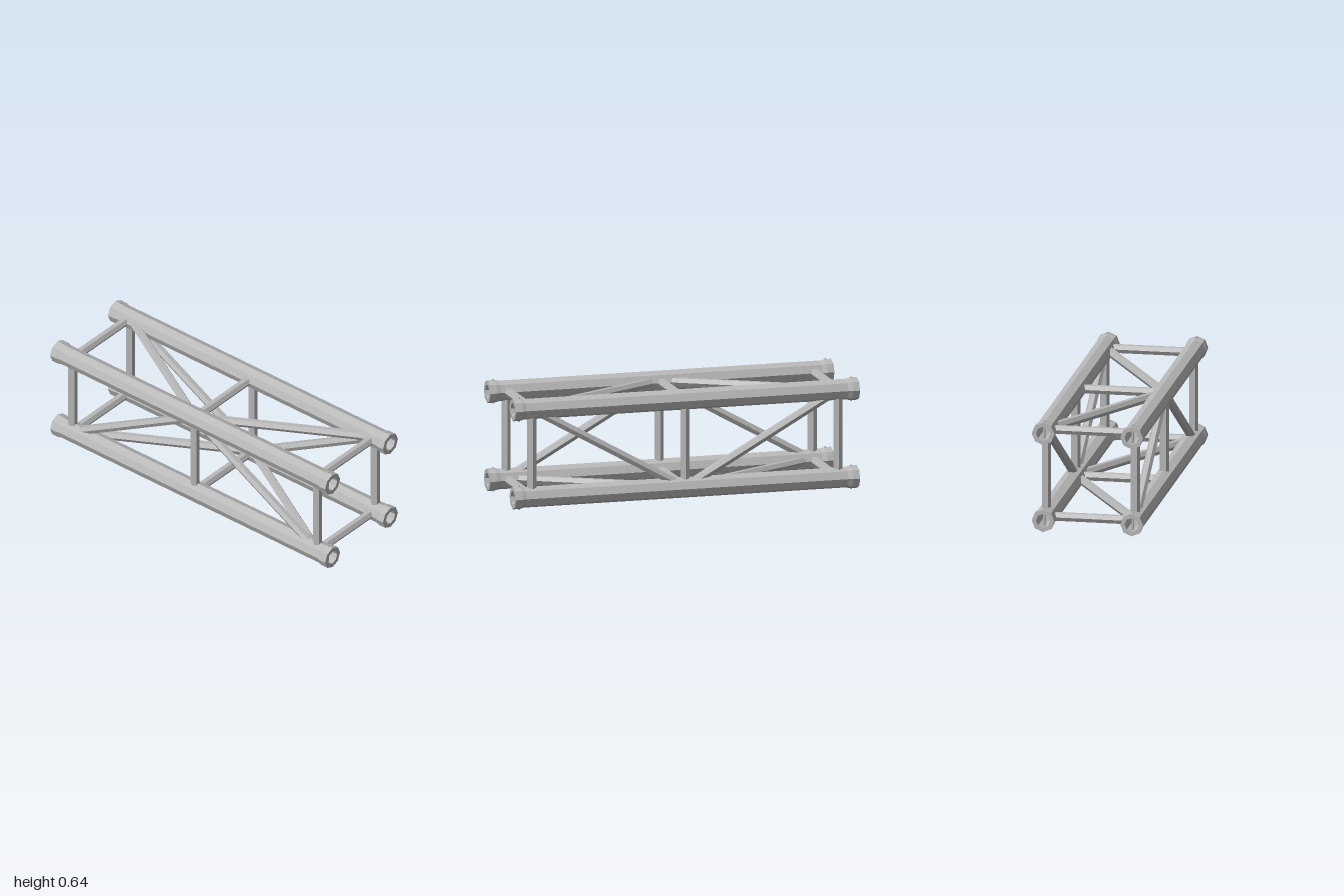
import * as THREE from 'three';

const HALF = 0.251;      // chord offset from the truss axis
const MID_Y = 0.3195;    // height of the truss axis
const POST_X = 0.89;     // position of the end posts
const BRACE_R = 0.026;
const SPAN = 2 * (HALF - 0.046); // braces stop inside the chord walls
const SLOPE = POST_X / (2 * HALF);

// Hollow octagonal tube along x with slightly flared ends
function chordGeometry() {
  const outer = [[0.065, -1], [0.065, -0.96], [0.059, -0.935],
    [0.059, 0.935], [0.065, 0.96], [0.065, 1]];
  const loop = [...outer, [0.04, 1], [0.04, -1], outer[0]];
  return new THREE.LatheGeometry(loop.map(([r, y]) => new THREE.Vector2(r, y)), 8)
    .rotateZ(-Math.PI / 2);
}

// Hexagonal bar along y (or z when flat); slope shears it along x so its ends stay flush
function braceGeometry(slope, flat) {
  const g = new THREE.CylinderGeometry(BRACE_R, BRACE_R, SPAN, 6);
  if (flat) g.rotateY(Math.PI / 6);
  g.scale(Math.hypot(1, slope), 1, 1);
  const p = g.attributes.position;
  for (let i = 0; i < p.count; i++) p.setX(i, p.getX(i) + slope * p.getY(i));
  if (flat) g.rotateX(Math.PI / 2);
  g.computeVertexNormals();
  return g;
}

export function createModel() {
  const metal = new THREE.MeshStandardMaterial({ color: 0xb8b8b8, flatShading: true });
  metal.name = 'grey metal';
  const truss = new THREE.Group();
  truss.name = 'boxTruss';

  const add = (name, geometry, x, y, z) => {
    const mesh = new THREE.Mesh(geometry, metal);
    mesh.name = name;
    mesh.position.set(x, MID_Y + y, z);
    truss.add(mesh);
  };

  // Four chords, each with a locking pin through both ends
  const chord = chordGeometry();
  const pin = new THREE.CylinderGeometry(0.006, 0.006, 0.137, 8);
  for (const y of [-HALF, HALF]) {
    for (const z of [-HALF, HALF]) {
      add('chord', chord, 0, y, z);
      for (const x of [-0.965, 0.965]) add('lockingPin', pin, x, y, z);
    }
  }

  // Square frames: upright posts and cross bars
  const post = braceGeometry(0, false);
  const bar = braceGeometry(0, true);
  for (const x of [-POST_X, 0, POST_X]) {
    for (const s of [-HALF, HALF]) {
      add('post', post, x, 0, s);
      add('crossBar', bar, x, s, 0);
    }
  }

  // Diagonals: each face zigzags opposite to the face across from it
  for (const side of [-1, 1]) {
    for (const end of [-1, 1]) {
      const slope = -side * end * SLOPE;
      // front peaks at the middle, back dips there
      add('sideDiagonal', braceGeometry(slope, false), end * POST_X / 2, 0, side * HALF);
      // top meets the front chord at the middle, bottom meets the back chord
      add('deckDiagonal', braceGeometry(slope, true), end * POST_X / 2, side * HALF, 0);
    }
  }
  return truss;
}
